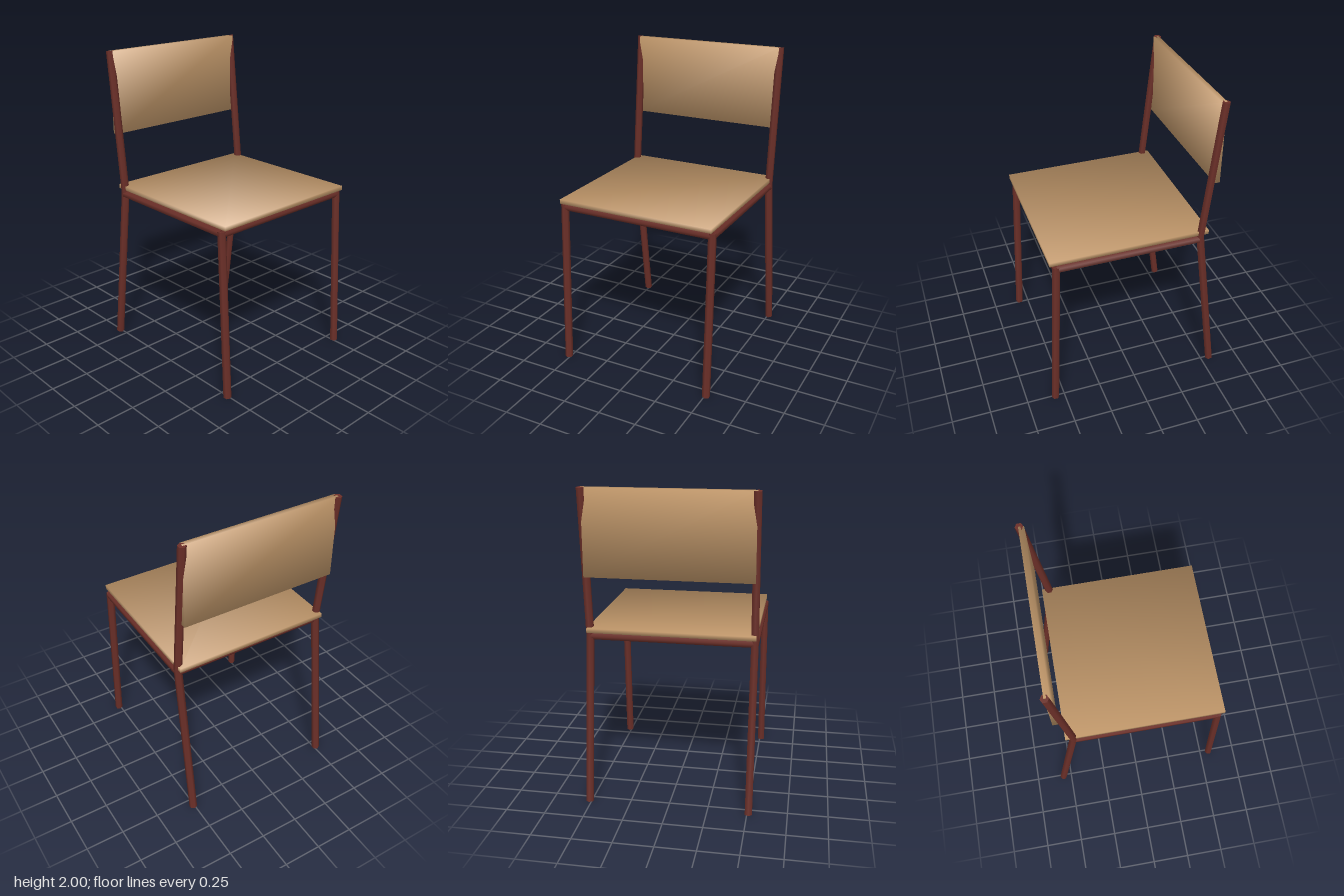
import * as THREE from 'three';

const wood = new THREE.MeshStandardMaterial({ color: 0xc49a6c });
const paint = new THREE.MeshStandardMaterial({ color: 0x6b2f28 });
const R = 0.0255;       // tube radius
const LEG_X = 0.51;     // sideways position of the frame
const RAIL_Y = 1.077;   // height of the seat rails

// Six-sided tube through points, mitred at each bend
function tube(name, points) {
  const pts = points.map(p => new THREE.Vector3(...p));
  const n = pts.length - 1;
  const geo = new THREE.CylinderGeometry(R, R, n, 6, n);
  const up = new THREE.Vector3(0, 1, 0);
  const turns = pts.map((p, i) => {
    const dir = new THREE.Vector3();
    if (i > 0) dir.add(p.clone().sub(pts[i - 1]).normalize());
    if (i < n) dir.add(pts[i + 1].clone().sub(p).normalize());
    return new THREE.Quaternion().setFromUnitVectors(up, dir.normalize());
  });
  const pos = geo.attributes.position, nor = geo.attributes.normal;
  const v = new THREE.Vector3();
  for (let k = 0; k < pos.count; k++) {
    const i = Math.round(pos.getY(k) + n / 2);
    v.set(pos.getX(k), 0, pos.getZ(k)).applyQuaternion(turns[i]).add(pts[i]);
    pos.setXYZ(k, v.x, v.y, v.z);
    v.fromBufferAttribute(nor, k).applyQuaternion(turns[i]);
    nor.setXYZ(k, v.x, v.y, v.z);
  }
  const mesh = new THREE.Mesh(geo, paint);
  mesh.name = name;
  return mesh;
}

// Thin board whose shading is smoothed across its corners
function board(name, w, h, d, x, y, z) {
  const geo = new THREE.BoxGeometry(w, h, d);
  const pos = geo.attributes.position, nor = geo.attributes.normal;
  const s = 1 / Math.sqrt(3);
  for (let k = 0; k < pos.count; k++) {
    nor.setXYZ(k, s * Math.sign(pos.getX(k)), s * Math.sign(pos.getY(k)), s * Math.sign(pos.getZ(k)));
  }
  const mesh = new THREE.Mesh(geo, wood);
  mesh.name = name;
  mesh.position.set(x, y, z);
  return mesh;
}

export function createModel() {
  const chair = new THREE.Group();
  chair.name = 'chair';

  // Seat and backrest boards
  chair.add(board('seat', 1.04, 0.028, 1.02, 0, 1.121, 0.045));
  chair.add(board('backrest', 1.02, 0.53, 0.034, 0, 1.733, -0.496));

  // Legs and side rails, mirrored
  for (const [side, x] of [['left', LEG_X], ['right', -LEG_X]]) {
    chair.add(tube(side + 'FrontLeg', [[x, 0.003, 0.563], [x, 1.093, 0.513]]));
    chair.add(tube(side + 'BackLeg', [[x, 0.004, -0.558], [x, 1.09, -0.414], [x, 1.997, -0.508]]));
    chair.add(tube(side + 'Rail', [[x, RAIL_Y, 0.513], [x, RAIL_Y, -0.414]]));
  }

  // Cross rails under the seat
  chair.add(tube('frontRail', [[-LEG_X, RAIL_Y, 0.513], [LEG_X, RAIL_Y, 0.513]]));
  chair.add(tube('backRail', [[-LEG_X, RAIL_Y, -0.414], [LEG_X, RAIL_Y, -0.414]]));
  return chair;
}
